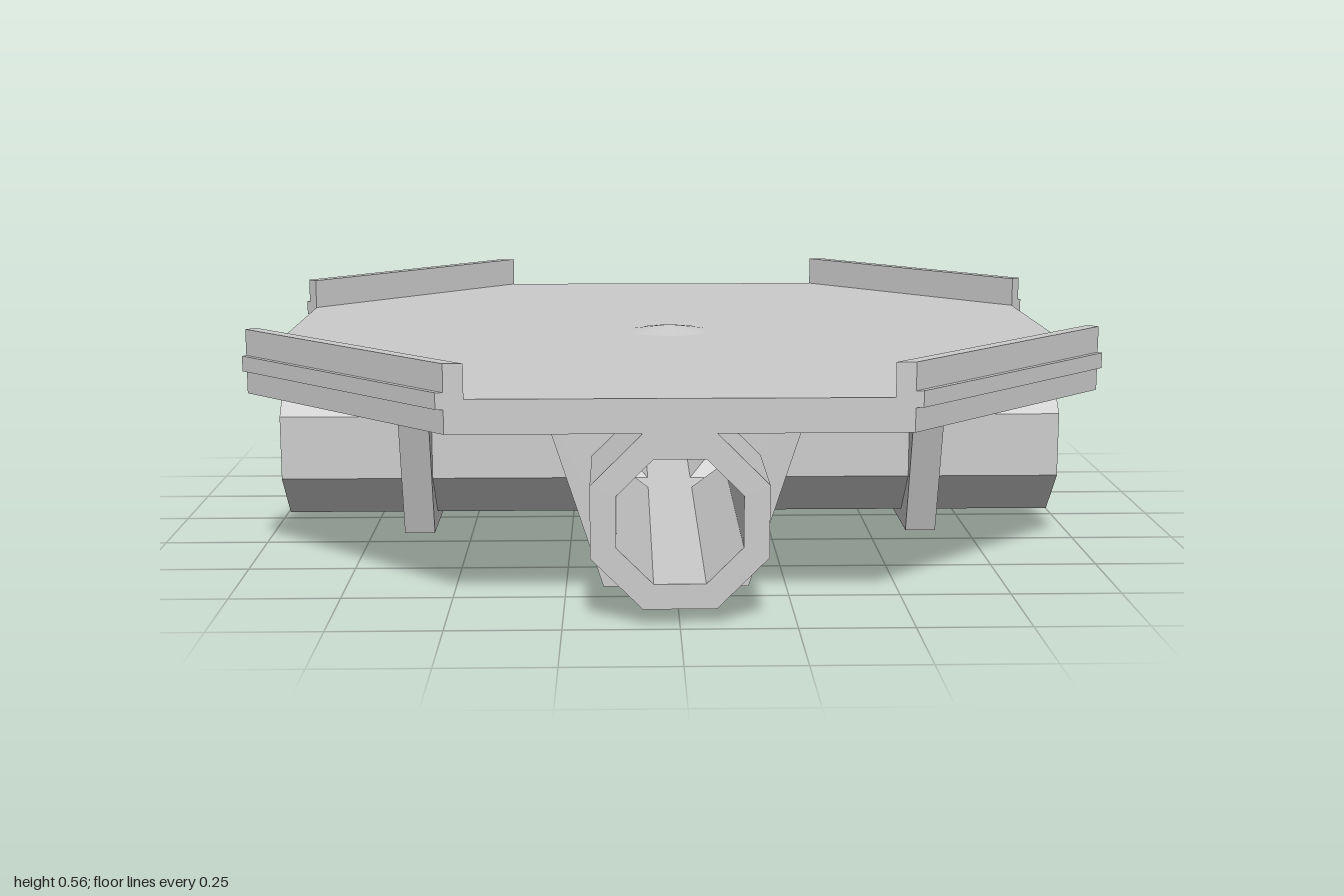
import * as THREE from 'three';

const material = new THREE.MeshStandardMaterial({ color: 0xcccccc, flatShading: true });
const EDGE = 0.97;      // half width of the deck
const CORNER = 0.45;    // where the deck corners are cut
const DECK_Y = 0.415;   // underside of the deck
const AXIS_Y = 0.225;   // height of the pipe axis

function add(parent, name, geometry) {
  const mesh = new THREE.Mesh(geometry, material);
  mesh.name = name;
  parent.add(mesh);
  return mesh;
}

const toVectors = (points) => points.map(([x, y]) => new THREE.Vector2(x, y));

// Vertical prism over a plan outline of [x, z] points
function slab(points, y0, y1) {
  const shape = new THREE.Shape(toVectors(points.map(([x, z]) => [x, -z])));
  return new THREE.ExtrudeGeometry(shape, { depth: y1 - y0, bevelEnabled: false })
    .rotateX(-Math.PI / 2).translate(0, y0, 0);
}

// Counter-clockwise octagon around the pipe axis, with middle points on top and bottom
function octagon(apothem) {
  const h = apothem * Math.tan(Math.PI / 8);
  const half = [[0, -apothem], [h, -apothem], [apothem, -h], [apothem, h], [h, apothem]];
  return [...half, ...half.map(([x, y]) => [-x, -y])].map(([x, y]) => [x, y + AXIS_Y]);
}

// Hollow octagonal arm along +z, mitred at the crossing so that four arms join openly
function pipeArm(outer, inner) {
  const mitred = (a) => octagon(a).map(([x, y]) => [x, y, Math.abs(x)]);
  const capped = (a) => octagon(a).map(([x, y]) => [x, y, EDGE]);
  const loops = [mitred(outer), capped(outer), capped(inner), mitred(inner)];
  const positions = [];
  for (let k = 0; k < 3; k++) {
    const [p, q] = [loops[k], loops[k + 1]];
    for (let i = 0; i < p.length; i++) {
      const j = (i + 1) % p.length;
      positions.push(...p[i], ...p[j], ...q[j], ...p[i], ...q[j], ...q[i]);
    }
  }
  const geometry = new THREE.BufferGeometry();
  geometry.setAttribute('position', new THREE.Float32BufferAttribute(positions, 3));
  geometry.computeVertexNormals();
  return geometry;
}

// Tapered hanger plate with an opening hidden inside the pipe wall
function hanger() {
  const shape = new THREE.Shape(toVectors([[-0.165, 0], [0.165, 0], [0.3, DECK_Y], [-0.3, DECK_Y]]));
  shape.holes.push(new THREE.Path(toVectors(octagon(0.16).reverse())));
  return new THREE.ExtrudeGeometry(shape, { depth: 0.075, bevelEnabled: false })
    .translate(0, 0, 0.595);
}

// Plan of a corner rail of thickness t, trimmed flush with the front or back edge
function railPlan(t, sx, sz) {
  const d = t / Math.SQRT2;
  return [[CORNER, EDGE], [CORNER + 2 * d, EDGE], [EDGE + d, CORNER + d], [EDGE, CORNER]]
    .map(([x, z]) => [x * sx, z * sz]);
}

export function createModel() {
  const model = new THREE.Group();
  model.name = 'platform';

  // Eight-sided deck
  add(model, 'deck', slab([
    [EDGE, -CORNER], [EDGE, CORNER], [CORNER, EDGE], [-CORNER, EDGE],
    [-EDGE, CORNER], [-EDGE, -CORNER], [-CORNER, -EDGE], [CORNER, -EDGE],
  ], DECK_Y, 0.49));

  // Shallow cone in the middle of the deck
  add(model, 'centreCap', new THREE.ConeGeometry(0.108, 0.016, 16)).position.y = 0.497;

  // Corner rails, each with a raised band
  for (const sx of [-1, 1]) {
    for (const sz of [-1, 1]) {
      const rail = new THREE.Group();
      rail.name = 'cornerRail';
      add(rail, 'railBody', slab(railPlan(0.03, sx, sz), DECK_Y, 0.565));
      add(rail, 'railBand', slab(railPlan(0.042, sx, sz), 0.468, 0.504));
      model.add(rail);
    }
  }

  // Four pipe arms with their hangers
  const armGeometry = pipeArm(0.19, 0.135);
  const hangerGeometry = hanger();
  for (let k = 0; k < 4; k++) {
    const arm = new THREE.Group();
    arm.name = 'arm';
    add(arm, 'pipe', armGeometry);
    add(arm, 'hanger', hangerGeometry);
    arm.rotation.y = k * Math.PI / 2;
    model.add(arm);
  }
  return model;
}
